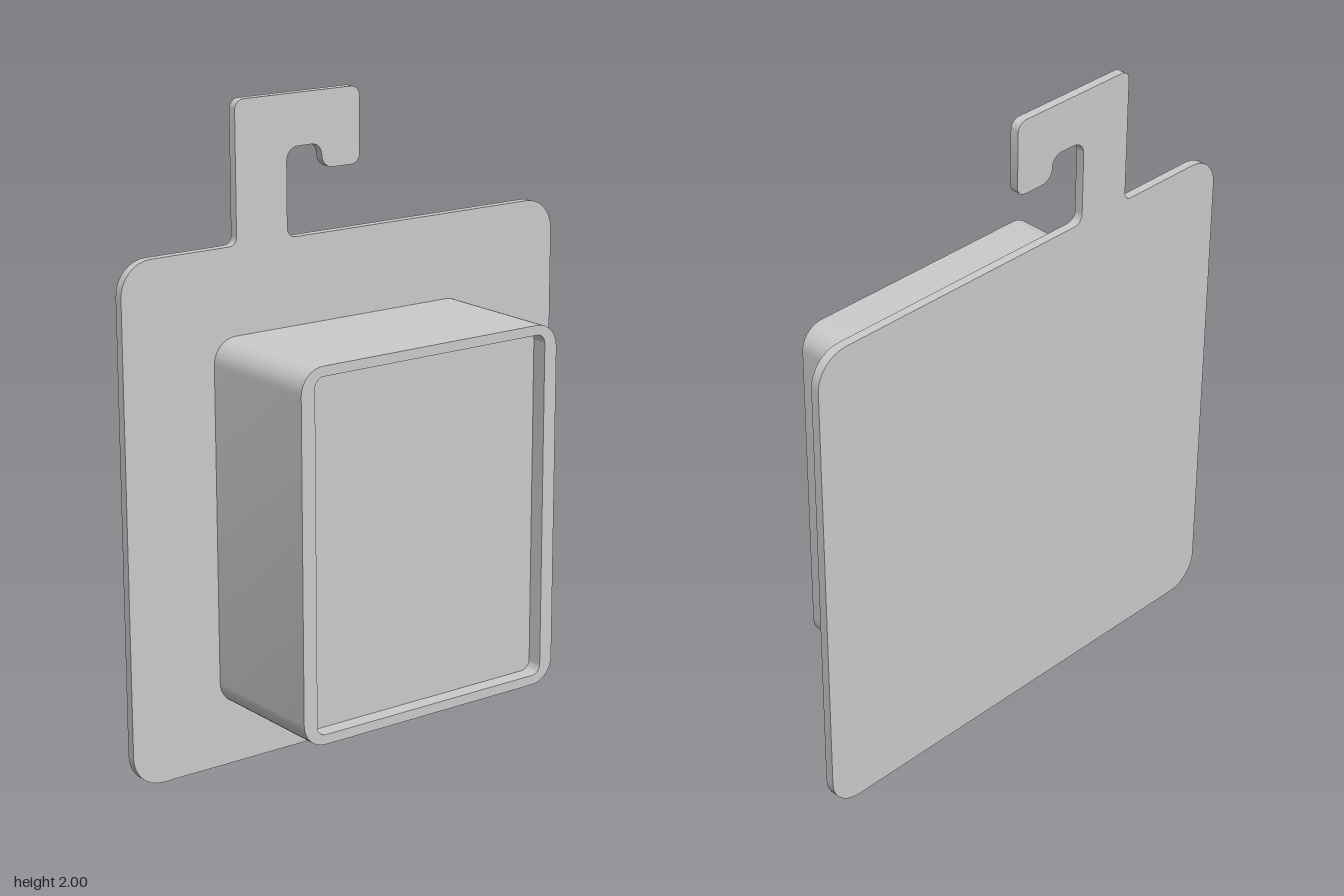
import * as THREE from 'three';
import { toCreasedNormals } from 'three/addons/utils/BufferGeometryUtils.js';

// Traces a closed outline of [x, y, cornerRadius] points with circular right-angle corners
function trace(path, points) {
  const K = 0.5523;
  const n = points.length;
  points.forEach(([x, y, r], i) => {
    const corner = new THREE.Vector2(x, y);
    const toward = (p, d) => new THREE.Vector2(p[0], p[1]).sub(corner).setLength(d).add(corner);
    const prev = points[(i + n - 1) % n];
    const next = points[(i + 1) % n];
    const a = toward(prev, r), b = toward(next, r);
    const c1 = toward(prev, r * (1 - K)), c2 = toward(next, r * (1 - K));
    if (i === 0) path.moveTo(a.x, a.y);
    else path.lineTo(a.x, a.y);
    path.bezierCurveTo(c1.x, c1.y, c2.x, c2.y, b.x, b.y);
  });
  path.closePath();
  return path;
}

const rect = (x0, x1, y0, y1, r) => [[x0, y0, r], [x1, y0, r], [x1, y1, r], [x0, y1, r]];

function slab(shape, z0, z1) {
  const g = new THREE.ExtrudeGeometry(shape, { depth: z1 - z0, bevelEnabled: false, curveSegments: 8 });
  g.translate(0, 0, z0);
  return toCreasedNormals(g, 0.6);
}

export function createModel() {
  const group = new THREE.Group();
  const material = new THREE.MeshStandardMaterial({ color: 0xcccccc });
  const add = (name, geometry) => {
    const mesh = new THREE.Mesh(geometry, material);
    mesh.name = name;
    group.add(mesh);
  };
  const back = -0.228, plateFront = -0.2, front = 0.228, floor = 0.178;

  // Flat backing card with its hanging hook, one outline
  add('backPlateWithHook', slab(trace(new THREE.Shape(), [
    [-0.79, 0, 0.1], [0.785, 0, 0.1], [0.785, 1.58, 0.1],
    [-0.22, 1.58, 0.03], [-0.22, 1.845, 0.04], [-0.095, 1.845, 0.035],
    [-0.095, 1.77, 0.04], [0.042, 1.77, 0.03], [0.042, 2, 0.03],
    [-0.398, 2, 0.03], [-0.398, 1.58, 0.025], [-0.79, 1.58, 0.1],
  ]), back, plateFront));

  // Box walls standing on the card
  const inner = rect(-0.435, 0.4, 0.22, 1.285, 0.03);
  const walls = trace(new THREE.Shape(), rect(-0.482, 0.445, 0.19, 1.315, 0.075));
  walls.holes.push(trace(new THREE.Path(), inner));
  add('boxWalls', slab(walls, plateFront, front));

  // Panel recessed a little behind the rim
  const panel = new THREE.ShapeGeometry(trace(new THREE.Shape(), inner), 8);
  panel.translate(0, 0, floor);
  add('recessedPanel', panel);

  return group;
}
